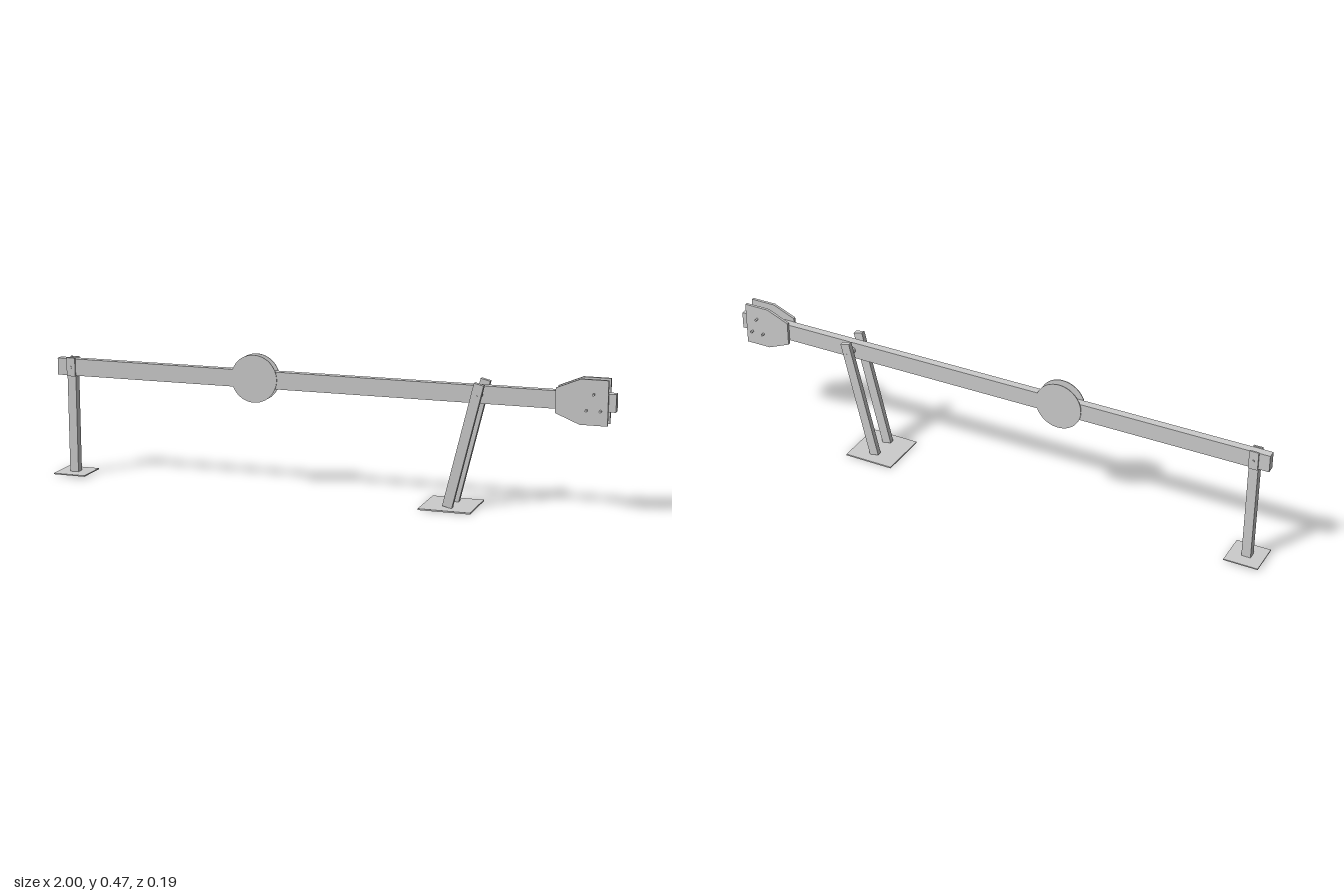
import * as THREE from 'three';

export function createModel() {
  const model = new THREE.Group();
  const material = new THREE.MeshStandardMaterial({ color: 0xcccccc });

  function add(name, geometry, x, y, z) {
    const mesh = new THREE.Mesh(geometry, material);
    mesh.name = name;
    mesh.position.set(x, y, z);
    model.add(mesh);
    return mesh;
  }
  const box = (name, w, h, d, x, y, z) => add(name, new THREE.BoxGeometry(w, h, d), x, y, z);
  // Cylinder lying along z
  const rod = (name, r, length, x, y, z = 0, sides = 16) =>
    add(name, new THREE.CylinderGeometry(r, r, length, sides).rotateX(Math.PI / 2), x, y, z);

  const beamY = 0.39;
  box('beam', 1.994, 0.06, 0.028, 0.003, beamY, 0);

  // Single post with a yoke holding the beam end
  box('postBase', 0.12, 0.004, 0.12, -0.94, 0.008, 0);
  box('post', 0.032, 0.35, 0.028, -0.941, 0.185, 0);
  rod('yokeBolt', 0.004, 0.046, -0.941, beamY);

  // Pair of slanted legs on a wide foot plate
  box('legBase', 0.18, 0.005, 0.185, 0.45, 0.0025, 0);
  const lean = Math.atan2(0.104, 0.43);
  rod('legSpacer', 0.012, 0.07, 0.545, beamY);
  rod('legAxle', 0.004, 0.108, 0.545, beamY);

  // Outline of the end plates
  const outline = new THREE.Shape([
    [0.803, 0.348], [0.884, 0.315], [0.976, 0.315],
    [0.976, 0.466], [0.884, 0.466], [0.803, 0.432],
  ].map(([x, y]) => new THREE.Vector2(x, y)));
  const plate = new THREE.ExtrudeGeometry(outline, { depth: 0.01, bevelEnabled: false });
  plate.translate(0, 0, -0.005);

  // Parts mirrored on both sides of the beam
  for (const side of [-1, 1]) {
    box('yokeCheek', 0.032, 0.066, 0.006, -0.941, 0.391, side * 0.017);
    rod('disc', 0.083, 0.003, -0.25, 0.392, side * 0.0155, 48);
    const leg = box('slantedLeg', 0.034, 0.436, 0.018, 0.501, 0.219, side * 0.044);
    leg.rotation.z = -lean;
    add('endPlate', plate, 0, 0, side * 0.021);
  }

  // Bolts through the end plates
  for (const [x, y] of [[0.929, 0.418], [0.906, 0.364], [0.952, 0.364]]) {
    rod('plateBolt', 0.004, 0.076, x, y);
  }
  return model;
}
